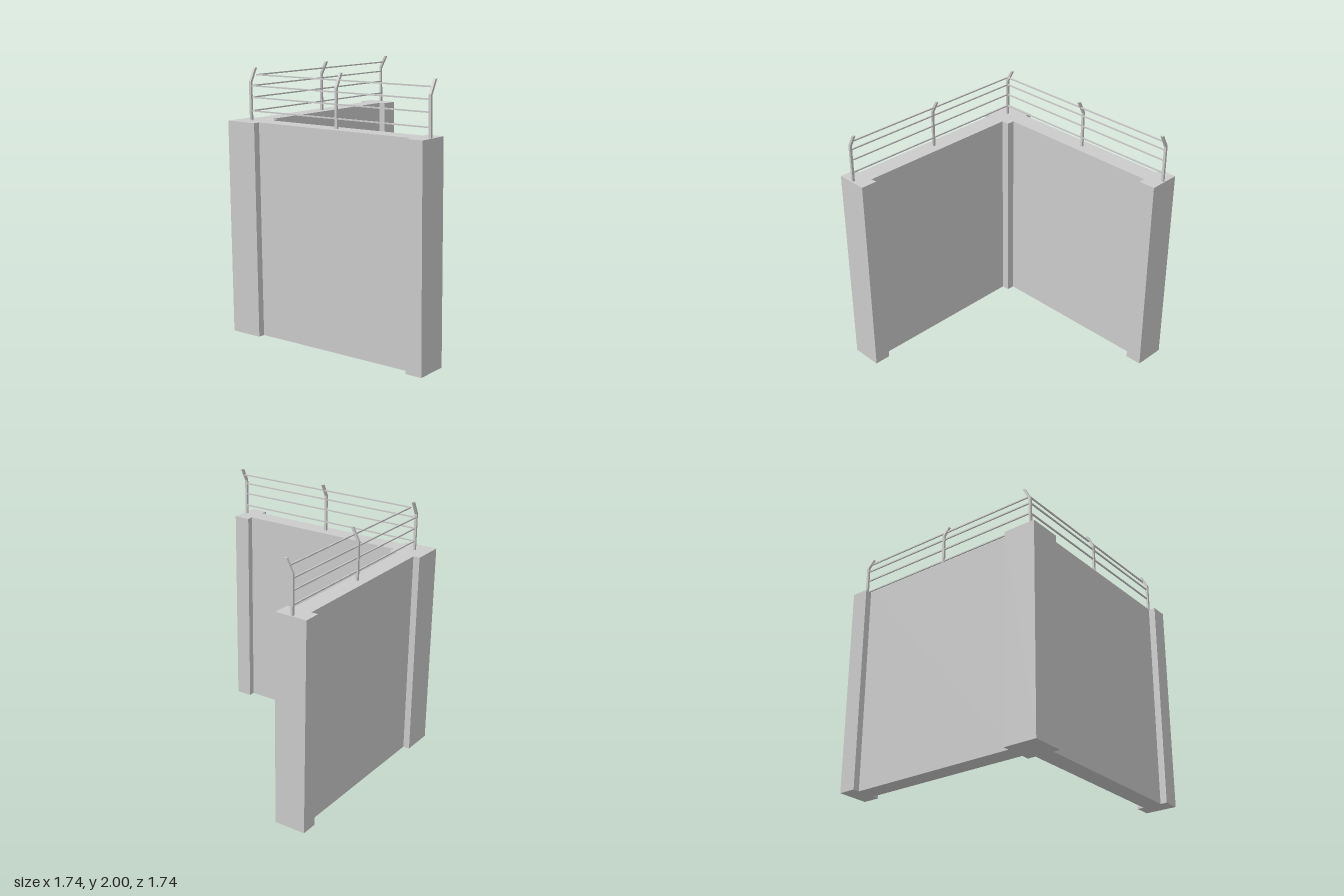
import * as THREE from 'three';

const material = new THREE.MeshStandardMaterial({ color: 0xcccccc, flatShading: true });
const WALL_TOP = 1.615;

function polygon(points) {
  return new THREE.Shape(points.map(([x, y]) => new THREE.Vector2(x, y)));
}

function addMesh(parent, name, geometry) {
  const mesh = new THREE.Mesh(geometry, material);
  mesh.name = name;
  parent.add(mesh);
  return mesh;
}

// L-shaped wall with thicker pillars at the corner and both ends, as [x, z]
function buildWall(parent) {
  const plan = [
    [-0.87, 0.867], [-0.612, 0.867], [-0.612, 0.815], [0.735, 0.815],
    [0.735, 0.867], [0.865, 0.867], [0.865, 0.619], [0.735, 0.619],
    [0.735, 0.67], [-0.612, 0.67], [-0.612, 0.608], [-0.674, 0.608],
    [-0.674, -0.737], [-0.622, -0.737], [-0.622, -0.87], [-0.87, -0.87],
    [-0.87, -0.737], [-0.818, -0.737], [-0.818, 0.608], [-0.87, 0.608],
  ];
  const geometry = new THREE.ExtrudeGeometry(polygon(plan.map(([x, z]) => [x, -z])),
    { depth: WALL_TOP, bevelEnabled: false });
  geometry.rotateX(-Math.PI / 2);
  addMesh(parent, 'wall', geometry);
}

// Post with a slanted tip; its profile leans towards local +x
const POST_WIDTH = 0.019;
const postGeometry = new THREE.ExtrudeGeometry(polygon([
  [0, WALL_TOP - 0.01], [0.017, WALL_TOP - 0.01], [0.017, 1.897],
  [0.071, 2], [0.051, 2], [0, 1.903],
]), { depth: POST_WIDTH, bevelEnabled: false });
postGeometry.translate(0, 0, -POST_WIDTH / 2);

// Rail heights and their inward offset from the outer face of the posts
const RAILS = [[1.685, 0.011], [1.785, 0.011], [1.87, 0.011], [1.95, 0.04]];
const RAIL_SIZE = 0.01;
const OUTER = 0.756;

export function createModel() {
  const model = new THREE.Group();
  buildWall(model);

  const frontFence = new THREE.Group();
  frontFence.name = 'frontFence';
  const sideFence = new THREE.Group();
  sideFence.name = 'sideFence';
  model.add(frontFence, sideFence);

  // Front posts lean towards -z; the first one stands on the corner
  for (const x of [-0.748, 0.057, 0.845]) {
    const post = addMesh(frontFence, 'frontPost', postGeometry);
    post.position.set(x, 0, OUTER);
    post.rotation.y = Math.PI / 2;
  }

  // Side posts lean towards +x
  for (const z of [-0.063, -0.852]) {
    addMesh(sideFence, 'sidePost', postGeometry).position.set(-OUTER, 0, z);
  }

  // Rails of both fences meet at the corner
  for (const [y, inset] of RAILS) {
    const line = OUTER - inset;
    const frontLength = 0.845 + line;
    addMesh(frontFence, 'frontRail', new THREE.BoxGeometry(frontLength, RAIL_SIZE, RAIL_SIZE))
      .position.set(0.845 - frontLength / 2, y, line);
    const sideLength = 0.852 + line;
    addMesh(sideFence, 'sideRail', new THREE.BoxGeometry(RAIL_SIZE, RAIL_SIZE, sideLength))
      .position.set(-line, y, -0.852 + sideLength / 2);
  }
  return model;
}
